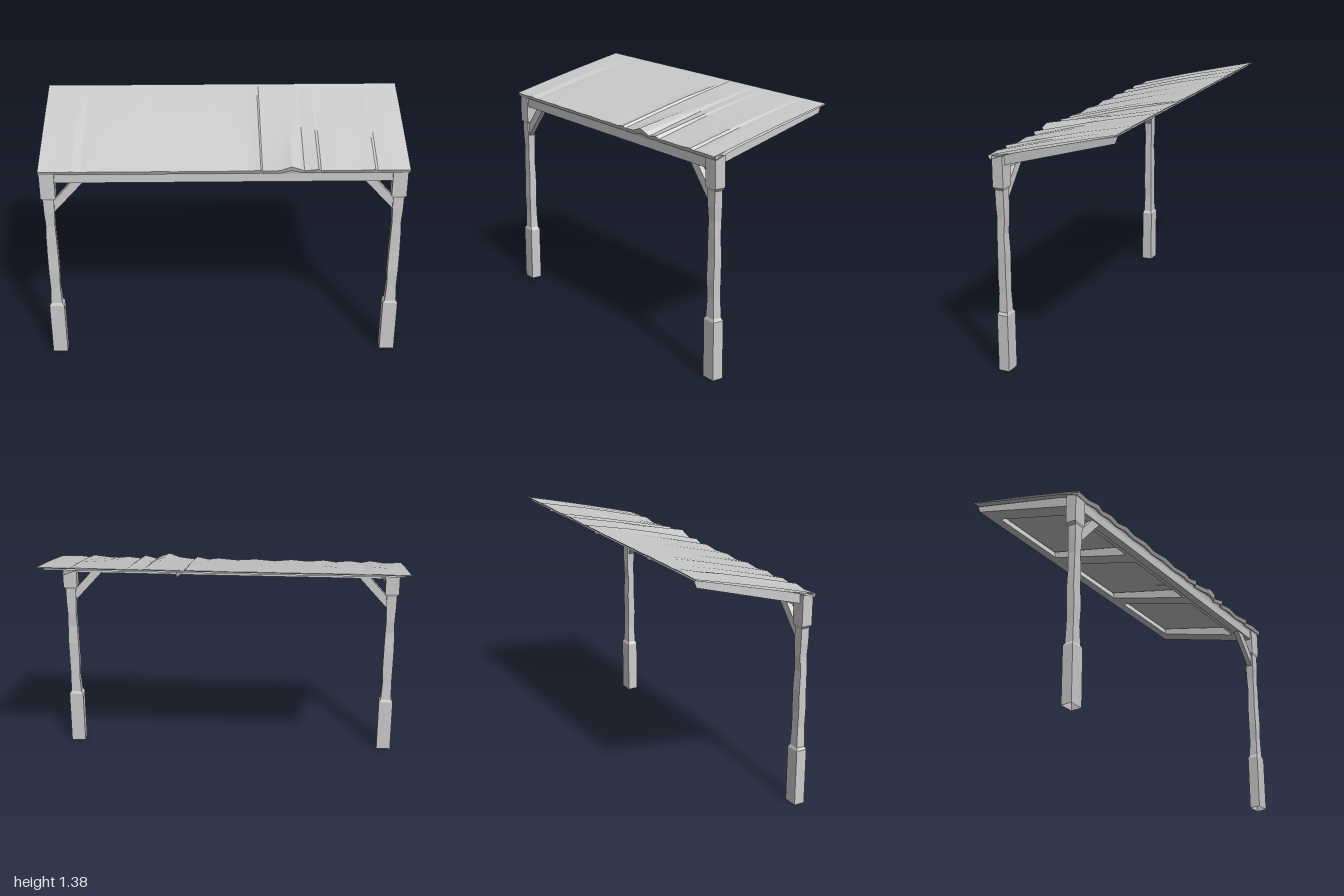
import * as THREE from 'three';
import { toCreasedNormals } from 'three/addons/utils/BufferGeometryUtils.js';

const grey = (opts = {}) => new THREE.MeshStandardMaterial({ color: 0xcccccc, ...opts });
const roofY = (z) => 1.195 + (0.36 - z) * 0.2517;

function add(parent, name, geometry, material = grey({ flatShading: true })) {
  const mesh = new THREE.Mesh(geometry, material);
  mesh.name = name;
  parent.add(mesh);
  return mesh;
}

// skin over rings of points, open at both ends; each ring has the same number of points
function loft(rings) {
  const n = rings[0].length, index = [];
  for (let i = 0; i < rings.length - 1; i++) {
    for (let j = 0; j < n; j++) {
      const a = i * n + j, b = i * n + (j + 1) % n;
      index.push(a, b, a + n, b, b + n, a + n);
    }
  }
  const g = new THREE.BufferGeometry();
  g.setAttribute('position', new THREE.Float32BufferAttribute(rings.flat(2), 3));
  g.setIndex(index);
  g.computeVertexNormals();
  return g;
}

// hewn square post: y, half width, half depth, x shift, z shift
const POST = [
  [0, 0.042, 0.031, 0, 0], [0.32, 0.042, 0.031, 0, 0], [0.335, 0.032, 0.025, 0, 0],
  [0.44, 0.027, 0.022, 0.001, 0], [0.54, 0.030, 0.023, 0, 0.002], [0.66, 0.030, 0.022, 0.001, -0.001],
  [0.77, 0.028, 0.020, 0.001, 0.002], [0.85, 0.025, 0.022, 0, -0.002], [0.93, 0.029, 0.024, 0, 0],
  [1.01, 0.030, 0.024, 0, 0], [1.025, 0.041, 0.031, 0, 0], [1.195, 0.041, 0.031, 0, 0],
];

function postGeometry(side) {
  return loft(POST.map(([y, w, d, ox, oz]) =>
    [[-1, 1], [1, 1], [1, -1], [-1, -1]].map(([sx, sz]) => [sx * w + ox * side, y, sz * d + oz])));
}

// diagonal brace between post and beam
function braceGeometry(side) {
  const s = new THREE.Shape([[0.935, 0.925], [0.935, 0.995], [0.82, 1.125], [0.755, 1.125]]
    .map(([x, y]) => new THREE.Vector2(x * side, y)));
  return new THREE.ExtrudeGeometry(s, { depth: 0.03, bevelEnabled: false }).translate(0, 0, 0.295);
}

// sloped frame with three bays, thicker towards the front and open along the back edge
function frameGeometry() {
  const rect = (Kind, x0, x1, z0, z1) => new Kind([[x0, z1], [x1, z1], [x1, z0], [x0, z0]]
    .map(([x, z]) => new THREE.Vector2(x, -z)));
  const shape = rect(THREE.Shape, -0.97, 0.97, -0.345, 0.325);
  for (let i = 0; i < 3; i++) {
    const x = -0.87 + i * 0.613;
    shape.holes.push(rect(THREE.Path, x, x + 0.513, -0.275, 0.225));
  }
  const g = new THREE.ExtrudeGeometry(shape, { depth: 1, bevelEnabled: false }).rotateX(-Math.PI / 2);
  const p = g.attributes.position, kept = [];
  for (let i = 0; i < p.count; i++) {
    const top = p.getY(i) > 0.5, z = p.getZ(i) * (top ? 1.04 : 1);
    p.setZ(i, z);
    p.setY(i, top ? roofY(z) - 0.012 : 1.145 + (0.28 - z) * 0.288);
  }
  // leave out the back face
  for (let i = 0; i < p.count; i += 3) {
    if (Math.max(p.getZ(i), p.getZ(i + 1), p.getZ(i + 2)) > -0.3) kept.push(i, i + 1, i + 2);
  }
  g.setIndex(kept);
  g.computeVertexNormals();
  return g;
}

// ripples of the covering: x, height at the front and in the middle (thousandths)
const RIPPLES = [
  [-1, 0, 0], [-0.9, -4, 2], [-0.82, 6, 8], [-0.77, -4, -2], [-0.7, 4, 6], [-0.62, -4, 2],
  [-0.55, 5, 8], [-0.46, -3, 0], [-0.36, 4, 3], [-0.26, -5, 0], [-0.15, 3, 4], [-0.04, -4, 0],
  [0.07, 4, 4], [0.13, -3, 2], [0.195, 10, 12], [0.205, -4, -1], [0.3, 6, 2], [0.36, 28, 4],
  [0.41, 12, 8], [0.43, -6, -1], [0.505, 12, 6], [0.52, -6, 0], [0.6, 2, 2], [0.7, -4, 4],
  [0.81, 8, 8], [0.825, -4, 0], [0.9, 3, 4], [1, 0, 0],
];

// rippled roof covering with a drooping lip along the front
function sheetGeometry() {
  return loft(RIPPLES.map(([x, front, mid]) => {
    const top = [], bottom = [];
    for (const t of [0, 0.2, 0.42, 0.6, 0.8, 1]) {
      const ripple = 0.001 * (t < 0.42
        ? mid * (0.25 + 0.75 * t / 0.42)
        : THREE.MathUtils.lerp(mid, front, (t - 0.42) / 0.58));
      const lip = t === 1 ? 1 : 0;
      const edge = lip ? Math.min(front, 6) * 0.001 : (t === 0 ? mid * 0.0005 : 0);
      const z = -0.365 + t * 0.722 + edge;
      top.push([x, roofY(z) + ripple + 0.004 * Math.sin(Math.PI * t), z]);
      bottom.unshift([x, roofY(z) - 0.005 - 0.006 * t + ripple * 0.7 * t - 0.01 * lip, z - 0.01 * lip]);
    }
    return [...top, ...bottom];
  }));
}

export function createModel() {
  const model = new THREE.Group();
  model.name = 'leanToShelter';

  // posts and braces on both sides
  for (const side of [-1, 1]) {
    const name = side > 0 ? 'left' : 'right';
    const post = add(model, name + 'Post', postGeometry(side), grey({ flatShading: true, side: THREE.DoubleSide }));
    post.position.set(side > 0 ? 0.951 : -0.956, 0, 0.31);
    add(model, name + 'Brace', braceGeometry(side));
  }

  // front beam
  add(model, 'frontBeam', new THREE.BoxGeometry(1.86, 0.065, 0.045)).position.set(0, 1.15, 0.31);

  // roof
  add(model, 'roofFrame', frameGeometry());
  add(model, 'roofSheet', toCreasedNormals(sheetGeometry(), 0.25), grey({ side: THREE.DoubleSide }));
  return model;
}
